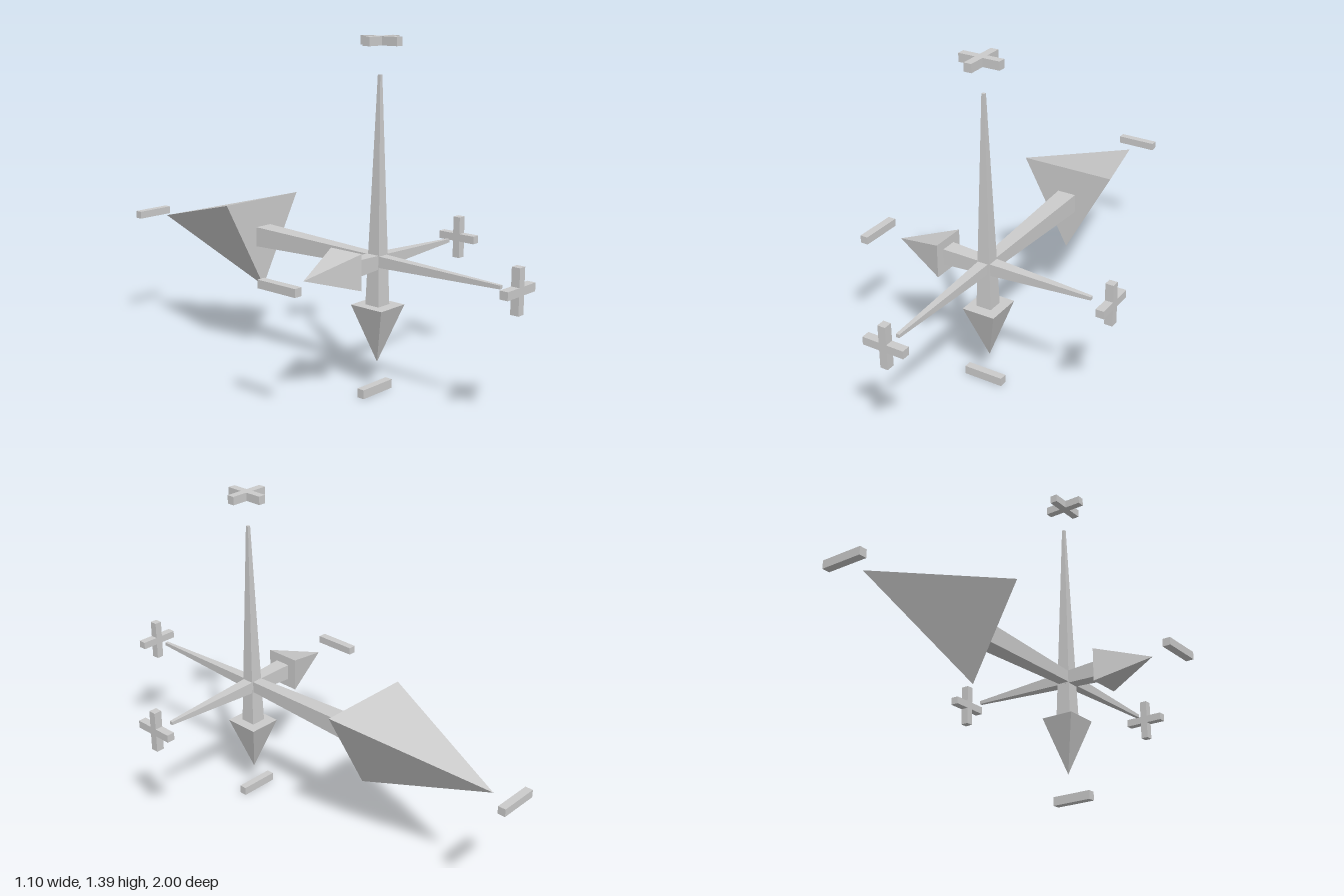
import * as THREE from 'three';
import { ConvexGeometry } from 'three/addons/geometries/ConvexGeometry.js';

const CX = -0.005, CY = 0.535, CZ = 0.347; // where the three axes cross

export function createModel() {
  const model = new THREE.Group();
  const material = new THREE.MeshStandardMaterial({ color: 0xcccccc, flatShading: true });

  function add(name, geometry, x = 0, y = 0, z = 0, rx = 0, ry = 0, rz = 0) {
    const mesh = new THREE.Mesh(geometry, material);
    mesh.name = name;
    mesh.position.set(x, y, z);
    mesh.rotation.set(rx, ry, rz);
    model.add(mesh);
  }

  // Square bar along y, tapering towards its positive end
  function taperedBar(halfTip, halfBase, length) {
    const s = Math.SQRT2;
    return new THREE.CylinderGeometry(halfTip * s, halfBase * s, length, 4).rotateY(Math.PI / 4);
  }
  add('shaftX', taperedBar(0.007, 0.034, 0.64), 0.135, CY, CZ, 0, 0, -Math.PI / 2);
  add('shaftY', taperedBar(0.006, 0.033, 0.89), CX + 0.003, 0.805, CZ + 0.002);
  add('shaftZ', taperedBar(0.007, 0.041, 1.19), CX, CY + 0.002, 0.32, Math.PI / 2);

  // Arrow heads on the negative ends: flat base corners plus a tip
  function head(name, corners, tip) {
    add(name, new ConvexGeometry([...corners, tip].map(p => new THREE.Vector3(...p))));
  }
  const square = [[-1, -1], [1, -1], [1, 1], [-1, 1]];
  head('arrowHeadX',
    square.map(([a, b]) => [-0.185, CY + a * 0.071, CZ + b * 0.076]), [-0.418, CY, CZ]);
  head('arrowHeadY',
    square.map(([a, b]) => [a * 0.071, 0.358, CZ + 0.002 + b * 0.076]), [0, 0.125, CZ + 0.002]);
  head('arrowHeadZ',
    [[-0.21, 0.693, -0.277], [0.2, 0.693, -0.277], [CX, 0.317, -0.277]], [-0.015, CY, -0.892]);

  // Plus signs floating beyond the positive ends
  const a = 0.087, w = 0.016, depth = 0.034;
  const outline = [[w, a], [w, w], [a, w], [a, -w], [w, -w], [w, -a],
    [-w, -a], [-w, -w], [-a, -w], [-a, w], [-w, w], [-w, a]];
  const shape = new THREE.Shape(outline.map(([x, y]) => new THREE.Vector2(x, y)));
  const plus = new THREE.ExtrudeGeometry(shape, { depth, bevelEnabled: false })
    .translate(0, 0, -depth / 2);
  add('plusX', plus, 0.533, CY + 0.002, 0.344, 0, Math.PI / 2);
  add('plusY', plus, CX, 1.376, 0.355, Math.PI / 2);
  add('plusZ', plus, CX, CY + 0.002, 0.983);

  // Minus signs floating beyond the negative ends
  add('minusX', new THREE.BoxGeometry(0.034, 0.032, 0.185), -0.537, CY, 0.343);
  add('minusY', new THREE.BoxGeometry(0.172, 0.036, 0.032), -0.019, 0.022, 0.355);
  add('minusZ', new THREE.BoxGeometry(0.172, 0.032, 0.032), -0.019, CY + 0.002, -0.984);

  return model;
}
